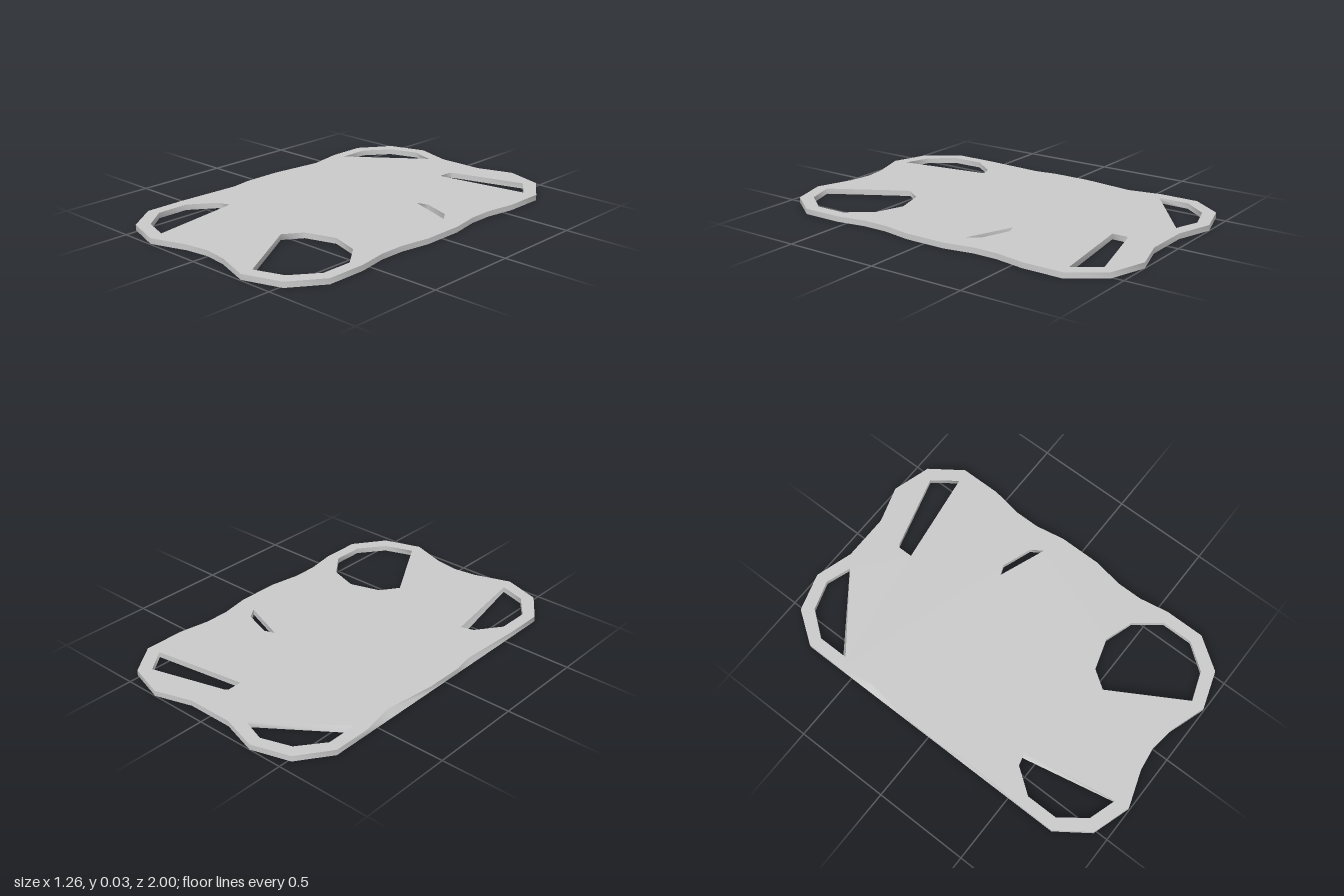
import * as THREE from 'three';

const BOTTOM = 0.006, TOP = 0.035;

// Loops run clockwise seen from above: [x, z] or [x, z, xBottom, zBottom] for a slanted wall
const outline = [
  [-0.317, -1], [-0.12, -0.94], [0.125, -0.94], [0.317, -1], [0.515, -0.94], [0.632, -0.775],
  [0.632, -0.56], [0.605, -0.4], [0.605, -0.27], [0.632, -0.115],
  [0.632, 0.105], [0.605, 0.265], [0.605, 0.4], [0.632, 0.555],
  [0.632, 0.765], [0.515, 0.93], [0.317, 0.995], [0.125, 0.93], [0, 0.913],
  [-0.125, 0.93], [-0.317, 0.995], [-0.515, 0.93], [-0.632, 0.765],
  [-0.632, 0.555], [-0.614, 0.21, -0.632, 0.21], [-0.632, 0.1], [-0.632, -0.11],
  [-0.598, -0.39, -0.632, -0.39], [-0.632, -0.57], [-0.632, -0.775], [-0.515, -0.94],
];

const holes = {
  backRightHole: [[-0.57, -0.59, -0.57, -0.61], [-0.57, -0.755], [-0.47, -0.885], [-0.317, -0.935], [-0.185, -0.89]],
  backLeftHole: [[0.065, -0.685], [0.065, -0.765], [0.08, -0.775], [0.47, -0.885], [0.562, -0.76]],
  middleSlit: [[0.265, -0.25], [0.32, -0.27], [0.475, -0.215], [0.515, -0.155]],
  frontLeftHole: [[0.09, 0.54], [0.155, 0.445], [0.317, 0.395], [0.47, 0.445], [0.57, 0.575], [0.57, 0.74], [0.47, 0.873], [0.317, 0.927]],
  frontRightHole: [[-0.57, 0.575], [-0.475, 0.445], [-0.408, 0.425, -0.43, 0.432], [-0.33, 0.92], [-0.47, 0.875], [-0.57, 0.745]],
};

const topOf = ([x, z]) => new THREE.Vector2(x, -z);
const bottomOf = ([x, z, bx = x, bz = z]) => new THREE.Vector2(bx, -bz);

// Flat face of the plate with its holes
function cap(pick, y, faceDown) {
  const shape = new THREE.Shape(outline.map(pick));
  for (const loop of Object.values(holes)) shape.holes.push(new THREE.Path(loop.map(pick)));
  const geo = new THREE.ShapeGeometry(shape);
  if (faceDown) geo.setIndex(Array.from(geo.index.array).reverse());
  geo.rotateX(-Math.PI / 2).translate(0, y, 0);
  geo.computeVertexNormals();
  return geo;
}

// Smooth band joining the top and bottom of a loop
function wall(loop) {
  const pos = [], index = [], n = loop.length;
  loop.forEach((p, i) => {
    const t = topOf(p), b = bottomOf(p);
    pos.push(t.x, TOP, -t.y, b.x, BOTTOM, -b.y);
    const a = 2 * i, c = 2 * ((i + 1) % n);
    index.push(a, c, a + 1, c, c + 1, a + 1);
  });
  const geo = new THREE.BufferGeometry();
  geo.setAttribute('position', new THREE.Float32BufferAttribute(pos, 3));
  geo.setIndex(index);
  geo.computeVertexNormals();
  return geo;
}

export function createModel() {
  const group = new THREE.Group();
  group.name = 'plate';
  const material = new THREE.MeshStandardMaterial({ color: 0xcccccc });
  const add = (name, geo) => {
    const mesh = new THREE.Mesh(geo, material);
    mesh.name = name;
    group.add(mesh);
  };

  add('topFace', cap(topOf, TOP, false));
  add('bottomFace', cap(bottomOf, BOTTOM, true));
  add('outerRim', wall(outline));
  // Hole walls face inwards, so their loops are reversed
  for (const [name, loop] of Object.entries(holes)) add(name, wall([...loop].reverse()));
  return group;
}
